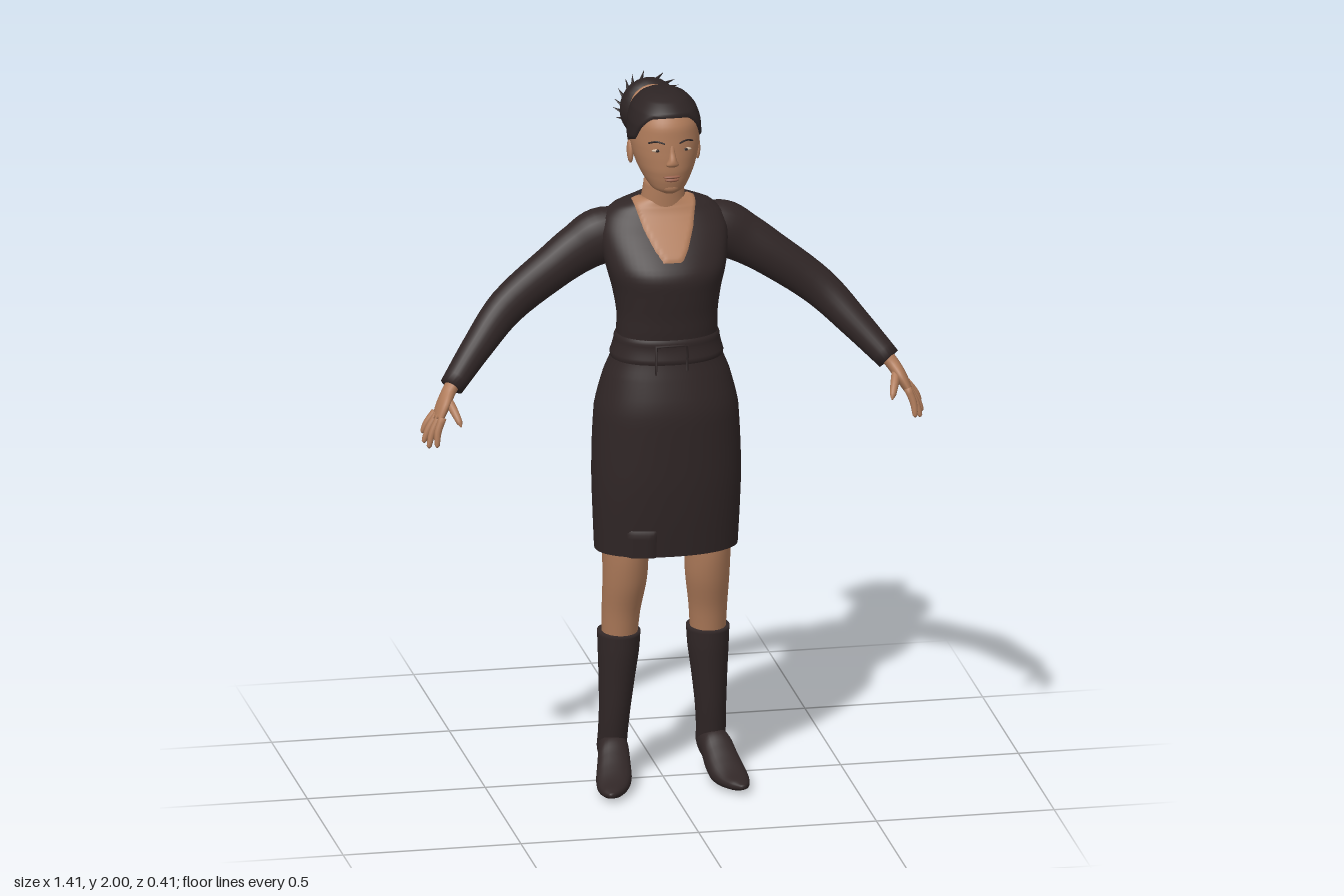
import * as THREE from 'three';

const V = (x, y, z) => new THREE.Vector3(x, y, z);
const X = V(1, 0, 0), Y = V(0, 1, 0), Z = V(0, 0, 1);
const mat = (name, color, side = THREE.FrontSide) => {
  const m = new THREE.MeshStandardMaterial({ color, side });
  m.name = name;
  return m;
};

// Smooth skin over elliptical sections [x, y, z, radiusAlongRef, otherRadius].
// dir fixes the ring normal; without it rings follow the path.
function loft(sections, { ref = X, dir = null, n = 24, sub = 5, p = 2, capStart = true, capEnd = true } = {}) {
  const path = new THREE.CatmullRomCurve3(sections.map(s => V(s[0], s[1], s[2])));
  const radii = new THREE.CatmullRomCurve3(sections.map(s => V(s[3], s[4], 0)));
  const rows = (sections.length - 1) * sub, pos = [], idx = [];
  const bend = v => Math.sign(v) * Math.abs(v) ** (2 / p);
  for (let i = 0; i <= rows; i++) {
    const c = path.getPoint(i / rows), r = radii.getPoint(i / rows);
    const t = dir || path.getTangent(i / rows);
    const u = ref.clone().addScaledVector(t, -ref.dot(t)).normalize();
    const v = t.clone().cross(u);
    for (let j = 0; j < n; j++) {
      const a = j / n * Math.PI * 2;
      const q = c.clone().addScaledVector(u, bend(Math.cos(a)) * Math.max(r.x, 0.0005))
        .addScaledVector(v, bend(Math.sin(a)) * Math.max(r.y, 0.0005));
      pos.push(q.x, q.y, q.z);
      if (i < rows) {
        const A = i * n + j, B = i * n + (j + 1) % n;
        idx.push(A, B, B + n, A, B + n, A + n);
      }
    }
  }
  const cap = (s, base, flip) => {
    const k = pos.length / 3;
    pos.push(s[0], s[1], s[2]);
    for (let j = 0; j < n; j++) {
      const a = base + j, b = base + (j + 1) % n;
      flip ? idx.push(k, b, a) : idx.push(k, a, b);
    }
  };
  if (capStart) cap(sections[0], 0, true);
  if (capEnd) cap(sections[sections.length - 1], rows * n, false);
  const g = new THREE.BufferGeometry();
  g.setAttribute('position', new THREE.Float32BufferAttribute(pos, 3));
  g.setIndex(idx);
  g.computeVertexNormals();
  return g;
}

// Layer lying on a surface where rule > 0, sinking below it elsewhere.
function shell(g, rule, h) {
  const P = g.attributes.position, N = g.attributes.normal, d = [], keep = [];
  for (let i = 0; i < P.count; i++) {
    d[i] = rule(P.getX(i), P.getY(i), P.getZ(i));
    const o = THREE.MathUtils.clamp(d[i] * 0.7, -0.012, h);
    P.setXYZ(i, P.getX(i) + N.getX(i) * o, P.getY(i) + N.getY(i) * o, P.getZ(i) + N.getZ(i) * o);
  }
  const I = g.index.array;
  for (let i = 0; i < I.length; i += 3)
    if (Math.max(d[I[i]], d[I[i + 1]], d[I[i + 2]]) > -0.015) keep.push(I[i], I[i + 1], I[i + 2]);
  g.setIndex(keep);
  g.computeVertexNormals();
  return g;
}

// Piecewise linear lookup in [[key, value], ...] with rising keys
function at(table, k) {
  for (let i = 1; i < table.length; i++) {
    const [a, va] = table[i - 1], [b, vb] = table[i];
    if (k <= b) return va + (vb - va) * Math.max(0, (k - a) / (b - a));
  }
  return table[table.length - 1][1];
}

// Upright section from height, half width, front z and back z
const band = ([y, rx, zf, zb]) => [0, y, (zf + zb) / 2, rx, (zf - zb) / 2];

const TORSO = [
  [0.69, 0.2, 0.16, -0.078], [0.8, 0.205, 0.175, -0.086], [0.9, 0.208, 0.185, -0.095], [1.0, 0.206, 0.19, -0.105],
  [1.1, 0.2, 0.193, -0.108], [1.2, 0.175, 0.175, -0.085], [1.25, 0.155, 0.163, -0.068], [1.3, 0.142, 0.156, -0.053],
  [1.36, 0.14, 0.162, -0.047], [1.44, 0.15, 0.172, -0.075], [1.5, 0.165, 0.174, -0.093], [1.55, 0.175, 0.142, -0.096],
  [1.6, 0.178, 0.1, -0.096], [1.64, 0.165, 0.066, -0.092], [1.667, 0.135, 0.05, -0.086], [1.69, 0.07, 0.042, -0.075],
].map(band);
const HEAD = [
  [1.728, 0.02, 0.105, 0.05], [1.74, 0.045, 0.119, 0.02], [1.77, 0.066, 0.129, -0.035], [1.8, 0.08, 0.134, -0.065],
  [1.84, 0.092, 0.134, -0.088], [1.88, 0.097, 0.132, -0.1], [1.92, 0.095, 0.129, -0.102], [1.955, 0.084, 0.112, -0.095],
  [1.98, 0.062, 0.082, -0.072], [1.993, 0.034, 0.046, -0.04], [1.996, 0.003, 0.008, 0],
].map(band);
const HAIRLINE = [[-0.05, 1.765], [-0.02, 1.785], [0.005, 1.86], [0.065, 1.88], [0.1, 1.945], [0.13, 1.955]];
const NECKLINE = [[1.545, 0.03], [1.57, 0.047], [1.62, 0.07], [1.69, 0.09]];

export function createModel() {
  const model = new THREE.Group();
  const skin = mat('skin', 0xb07c5b), fabric = mat('dress fabric', 0x302626, THREE.DoubleSide);
  const hair = mat('hair', 0x2d2424), leather = mat('boot leather', 0x312727);
  const lipTone = mat('lips', 0x965f4a), eyeWhite = mat('eye white', 0xcdb49c);
  const add = (name, geo, m, parent = model) => {
    const mesh = new THREE.Mesh(geo, m);
    mesh.name = name;
    parent.add(mesh);
    return mesh;
  };
  const blob = (name, m, [x, y, z], [a, b, c], parent) => {
    const o = add(name, new THREE.SphereGeometry(1, 20, 14), m, parent);
    o.position.set(x, y, z);
    o.scale.set(a, b, c);
    return o;
  };
  const tube = (name, pts, r, m) =>
    add(name, new THREE.TubeGeometry(new THREE.CatmullRomCurve3(pts.map(q => V(...q))), 16, r, 6), m);
  const torso = (n, sub) => loft(TORSO, { dir: Y, n, sub, p: 2.2, capStart: false });
  const skull = (n, sub) => loft(HEAD, { dir: Y, n, sub, p: 2.1 });

  // Dress, bare neckline and belt
  add('dress', torso(56, 4), fabric);
  add('chest', shell(torso(120, 8), (x, y, z) => Math.min(at(NECKLINE, y) - Math.abs(x), y - 1.54, z + 0.01), 0.004), skin);
  add('belt', shell(torso(72, 8), (x, y) => 0.035 - Math.abs(y - 1.283), 0.005), fabric);
  add('hemFold', shell(torso(96, 8), (x, y, z) => Math.min(0.04 - Math.abs(x + 0.09), 0.77 - y, z), 0.006), fabric);
  const buckle = add('buckle', new THREE.TorusGeometry(0.062, 0.005, 6, 4), fabric);
  buckle.geometry.rotateZ(Math.PI / 4);
  buckle.position.set(-0.008, 1.262, 0.165);
  buckle.rotation.x = 0.1;
  for (const y of [1.27, 1.29, 1.31])
    tube('backTie', [[-0.06, y, -0.058], [-0.02, y + 0.008, -0.07], [0.02, y - 0.006, -0.07], [0.06, y + 0.004, -0.058]], 0.005, fabric);

  // Neck, head and hair
  add('neck', loft([[0, 1.6, -0.015, 0.075, 0.06], [0, 1.68, 0, 0.063, 0.053], [0, 1.74, 0.008, 0.055, 0.05],
    [0, 1.8, 0.008, 0.055, 0.05]], { dir: Y }), skin);
  add('head', skull(48, 4), skin);
  add('hairCap', shell(skull(96, 8), (x, y, z) => y - at(HAIRLINE, z), 0.005), hair);
  add('nose', loft([[0, 1.812, 0.126, 0.011, 0.006], [0, 1.821, 0.134, 0.018, 0.014], [0, 1.835, 0.135, 0.012, 0.014],
    [0, 1.855, 0.131, 0.008, 0.008], [0, 1.88, 0.126, 0.006, 0.005]], { dir: Y, n: 16 }), skin);
  blob('upperLip', lipTone, [0, 1.784, 0.128], [0.024, 0.005, 0.009]);
  blob('lowerLip', lipTone, [0, 1.775, 0.127], [0.02, 0.006, 0.009]);
  blob('chin', skin, [0, 1.75, 0.108], [0.026, 0.018, 0.016]);
  for (const s of [-1, 1]) {
    blob('eye', eyeWhite, [s * 0.04, 1.861, 0.121], [0.016, 0.0045, 0.006]);
    blob('iris', hair, [s * 0.04, 1.861, 0.1255], [0.005, 0.004, 0.003]);
    tube('eyebrow', [[s * 0.02, 1.881, 0.13], [s * 0.042, 1.887, 0.123], [s * 0.062, 1.88, 0.108]], 0.0025, hair);
    blob('ear', skin, [s * 0.094, 1.828, 0.008], [0.009, 0.034, 0.018]).rotation.x = -0.2;
  }

  // Bun with band and loose strands
  const bunAt = V(-0.01, 1.897, -0.143);
  blob('bun', hair, bunAt.toArray(), [0.083, 0.088, 0.054]);
  const tie = add('hairTie', new THREE.TorusGeometry(0.052, 0.012, 10, 28), skin);
  tie.position.set(-0.01, 1.92, -0.094);
  tie.rotation.x = 0.1;
  for (let i = 0; i < 18; i++) {
    const a = i * 2.4, back = -0.1 - 0.55 * ((i * 7) % 5) / 5;
    const d = V(Math.cos(a), Math.sin(a), back).normalize();
    const strand = add('strand', new THREE.ConeGeometry(0.011, 0.06, 5), hair);
    strand.position.copy(bunAt).add(d.clone().multiply(V(0.08, 0.084, 0.052)));
    strand.quaternion.setFromUnitVectors(Y, d.add(V(Math.sin(a) * 0.7, -Math.cos(a) * 0.7, 0)).normalize());
  }

  for (const s of [-1, 1]) {
    const side = s > 0 ? 'left' : 'right';
    const m = list => list.map(([x, ...rest]) => [s * x, ...rest]);

    // Sleeve and hand
    add(side + 'Sleeve', loft(m([[0.09, 1.585, -0.025, 0.055, 0.065], [0.17, 1.573, -0.03, 0.062, 0.08],
      [0.23, 1.543, -0.028, 0.056, 0.071], [0.3, 1.498, -0.02, 0.052, 0.063], [0.44, 1.393, -0.002, 0.045, 0.054],
      [0.53, 1.3, 0.045, 0.04, 0.044], [0.615, 1.207, 0.102, 0.034, 0.034]]), { ref: Z }), fabric);
    const hand = new THREE.Group();
    hand.name = side + 'Hand';
    model.add(hand);
    add('palm', loft(m([[0.6, 1.225, 0.092, 0.024, 0.02], [0.624, 1.195, 0.108, 0.025, 0.019],
      [0.645, 1.16, 0.127, 0.038, 0.017], [0.663, 1.125, 0.14, 0.036, 0.012]]), { ref: Z, n: 16 }), skin, hand);
    const tips = [[0.698, 1.08, 0.112], [0.699, 1.06, 0.137], [0.69, 1.052, 0.162], [0.672, 1.06, 0.186]];
    tips.forEach(([x, y, z], i) => {
      const bz = 0.11 + i * 0.02, bx = 0.663 - i * 0.003;
      add('finger', loft(m([[bx, 1.14, bz, 0.011, 0.011], [(bx + x) / 2 + 0.006, (1.14 + y) / 2, (bz + z) / 2, 0.01, 0.01],
        [x, y + 0.006, z, 0.007, 0.007], [x, y, z, 0.002, 0.002]]), { ref: Z, n: 10, sub: 3 }), skin, hand);
    });
    add('thumb', loft(m([[0.632, 1.18, 0.125, 0.013, 0.013], [0.62, 1.155, 0.16, 0.012, 0.012],
      [0.61, 1.13, 0.185, 0.009, 0.009], [0.606, 1.118, 0.194, 0.002, 0.002]]), { ref: X, n: 10, sub: 3 }), skin, hand);

    // Leg
    add(side + 'Leg', loft(m([[0.125, 0.4, 0.005, 0.048, 0.056], [0.122, 0.5, 0.02, 0.053, 0.062],
      [0.116, 0.6, 0.042, 0.061, 0.072], [0.115, 0.7, 0.048, 0.065, 0.084], [0.11, 0.85, 0.045, 0.075, 0.086]]), { dir: Y }), skin);

    // Boot: shaft, pointed foot and slim heel
    const boot = new THREE.Group();
    boot.name = side + 'Boot';
    model.add(boot);
    add('shaft', loft(m([[0.14, 0.06, -0.03, 0.03, 0.036], [0.139, 0.09, -0.026, 0.041, 0.049], [0.138, 0.13, -0.016, 0.041, 0.046],
      [0.135, 0.2, -0.006, 0.043, 0.049], [0.13, 0.3, 0, 0.05, 0.056], [0.126, 0.38, 0.003, 0.057, 0.063],
      [0.125, 0.437, 0.004, 0.06, 0.066]]), { dir: Y }), leather, boot);
    add('foot', loft(m([[0.14, 0.088, -0.078, 0.012, 0.015], [0.14, 0.086, -0.05, 0.036, 0.034], [0.14, 0.09, -0.01, 0.042, 0.042],
      [0.145, 0.083, 0.03, 0.044, 0.048], [0.152, 0.056, 0.07, 0.048, 0.044], [0.16, 0.036, 0.11, 0.05, 0.034],
      [0.17, 0.025, 0.15, 0.043, 0.022], [0.178, 0.022, 0.185, 0.028, 0.015], [0.184, 0.022, 0.208, 0.008, 0.006]]),
      { dir: Z, p: 2.3 }), leather, boot);
    add('heel', loft(m([[0.142, 0, -0.063, 0.009, 0.01], [0.141, 0.05, -0.064, 0.012, 0.013], [0.14, 0.095, -0.056, 0.026, 0.024]]),
      { dir: Y, n: 14 }), leather, boot);
  }
  return model;
}
